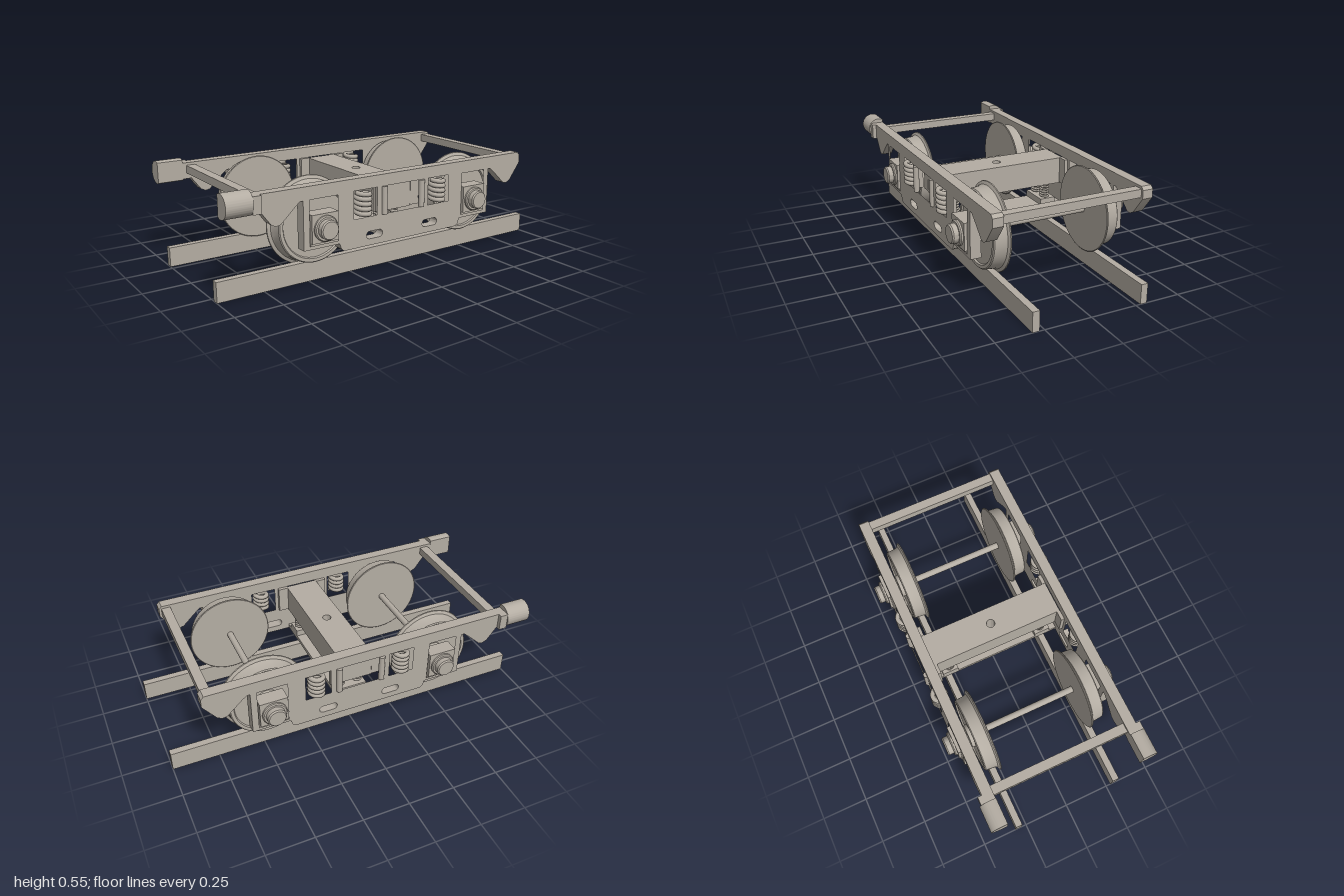
import * as THREE from 'three';
import { toCreasedNormals } from 'three/addons/utils/BufferGeometryUtils.js';

const metal = new THREE.MeshStandardMaterial({ color: 0xb4ada3 });
metal.name = 'warm grey metal';

function add(parent, name, geometry, x = 0, y = 0, z = 0) {
  const mesh = new THREE.Mesh(geometry, metal);
  mesh.name = name;
  mesh.position.set(x, y, z);
  parent.add(mesh);
  return mesh;
}

// Box given by its limits on each axis
function box(parent, name, [x0, x1], [y0, y1], [z0, z1]) {
  return add(parent, name, new THREE.BoxGeometry(x1 - x0, y1 - y0, z1 - z0),
    (x0 + x1) / 2, (y0 + y1) / 2, (z0 + z1) / 2);
}

// Solid turned around the z axis from [radius, z] points
function turned(points) {
  const g = new THREE.LatheGeometry(points.map(([r, z]) => new THREE.Vector2(r, z)), 64);
  return toCreasedNormals(g.rotateX(Math.PI / 2), 0.5);
}

function polygon(points, Type = THREE.Shape) {
  return new Type(points.map(([x, y]) => new THREE.Vector2(x, y)));
}

const rectHole = (x0, x1, y0, y1) =>
  polygon([[x0, y0], [x0, y1], [x1, y1], [x1, y0]], THREE.Path);

class Helix extends THREE.Curve {
  constructor(radius, height, turns) {
    super();
    Object.assign(this, { radius, height, turns });
  }
  getPoint(t, target = new THREE.Vector3()) {
    const a = t * this.turns * Math.PI * 2;
    return target.set(Math.cos(a) * this.radius, t * this.height, Math.sin(a) * this.radius);
  }
}

const spring = (radius, height, turns, wire) =>
  new THREE.TubeGeometry(new Helix(radius, height, turns), turns * 24, wire, 8);

function frameGeometry() {
  const half = [[0.82, 0.527], [0.835, 0.51], [0.835, 0.465], [0.765, 0.372], [0.74, 0.36], [0.715, 0.365],
    [0.635, 0.44], [0.61, 0.46], [0.594, 0.46], [0.594, 0.21], [0.39, 0.21], [0.38, 0.18], [0.365, 0.168]];
  const shape = polygon([...half, ...half.map(([x, y]) => [-x, y]).reverse()]);
  shape.holes.push(rectHole(-0.135, 0.135, 0.32, 0.465));
  for (const s of [-1, 1]) {
    const span = (a, b) => (s > 0 ? [a, b] : [-b, -a]);
    shape.holes.push(rectHole(...span(0.4, 0.56), 0.24, 0.46));
    shape.holes.push(rectHole(...span(0.165, 0.305), 0.32, 0.465));
    const slot = new THREE.Path();
    slot.absarc(s * 0.18 + 0.03, 0.222, 0.02, -Math.PI / 2, Math.PI / 2);
    slot.absarc(s * 0.18 - 0.03, 0.222, 0.02, Math.PI / 2, Math.PI * 1.5);
    shape.holes.push(slot);
  }
  return toCreasedNormals(new THREE.ExtrudeGeometry(shape, { depth: 0.057, bevelEnabled: false }), 0.6);
}

// Everything on the +z side that is symmetric front to back
function createSide() {
  const side = new THREE.Group();
  add(side, 'sideFrame', frameGeometry(), 0, 0, 0.373);
  box(side, 'rail', [-1, 1], [0, 0.105], [0.276, 0.313]);

  const wheel = turned([[0, 0.265], [0.226, 0.265], [0.23, 0.268], [0.228, 0.273], [0.212, 0.28], [0.207, 0.29],
    [0.202, 0.343], [0.197, 0.348], [0.18, 0.348], [0.175, 0.34], [0.065, 0.34], [0.062, 0.358], [0, 0.358]]);
  const cap = turned([[0, 0.43], [0.065, 0.43], [0.065, 0.452], [0.06, 0.458], [0.05, 0.458],
    [0.05, 0.484], [0.044, 0.491], [0, 0.491]]);

  for (const s of [-1, 1]) {
    const span = (a, b) => (s > 0 ? [a, b] : [-b, -a]);
    add(side, 'wheel', wheel, s * 0.48, 0.31);
    box(side, 'axleBox', span(0.405, 0.555), [0.24, 0.385], [0.365, 0.443]);
    add(side, 'bearingCap', cap, s * 0.48, 0.31);
    box(side, 'axleBoxKeeper', span(0.4, 0.56), [0.228, 0.242], [0.373, 0.436]);

    // Main coil spring in its pocket
    add(side, 'mainSpring', spring(0.035, 0.115, 4.5, 0.013), s * 0.24, 0.333, 0.41);

    // Bolster guides
    box(side, 'bolsterGuide', span(0.09, 0.145), [0.32, 0.465], [0.354, 0.374]);
    add(side, 'guidePost', new THREE.CylinderGeometry(0.016, 0.016, 0.145, 20), s * 0.12, 0.392, 0.43);

    // Small spring under the bolster
    add(side, 'bolsterSpring', spring(0.022, 0.085, 6, 0.006), s * 0.05, 0.23, 0.28);
  }
  box(side, 'springSeat', [-0.085, 0.085], [0.192, 0.23], [0.24, 0.33]);
  return side;
}

// Round buffer cut flat on its inner side, extruded along x
function bufferGeometry(s) {
  const cut = 2.04;
  const mid = s > 0 ? Math.PI : 0;
  const shape = new THREE.Shape();
  shape.absarc(-s * 0.4, 0.49, 0.061, mid - cut, mid + cut);
  const g = new THREE.ExtrudeGeometry(shape, { depth: 0.137, bevelEnabled: false, curveSegments: 32 });
  return toCreasedNormals(g.rotateY(Math.PI / 2), 0.5);
}

export function createModel() {
  const model = new THREE.Group();
  model.name = 'railBogie';

  const left = createSide();
  left.name = 'frontSide';
  const right = createSide();
  right.name = 'rearSide';
  right.rotation.y = Math.PI;
  model.add(left, right);

  // Buffers at one end only
  for (const s of [-1, 1]) {
    add(model, 'buffer', bufferGeometry(s), -1);
    box(model, 'bufferNeck', [-0.865, -0.82], [0.44, 0.527], s > 0 ? [0.373, 0.452] : [-0.452, -0.373]);
  }

  // Axles
  for (const x of [-0.48, 0.48]) {
    const axle = new THREE.CylinderGeometry(0.018, 0.018, 0.76, 24).rotateX(Math.PI / 2);
    add(model, 'axle', axle, x, 0.31);
  }

  // Bolster with centre pivot hole
  const plan = polygon([[-0.09, -0.372], [0.09, -0.372], [0.09, 0.372], [-0.09, 0.372]]);
  plan.holes.push(new THREE.Path().absarc(0, 0, 0.023, 0, Math.PI * 2, true));
  const bolster = new THREE.ExtrudeGeometry(plan, { depth: 0.148, bevelEnabled: false, curveSegments: 24 });
  add(model, 'bolster', toCreasedNormals(bolster.rotateX(-Math.PI / 2), 0.5), 0, 0.315);

  // Cross members
  box(model, 'springPlank', [-0.085, 0.085], [0.172, 0.195], [-0.374, 0.374]);
  box(model, 'endBeam', [-0.842, -0.792], [0.47, 0.513], [-0.374, 0.374]);
  box(model, 'endBeam', [0.772, 0.822], [0.47, 0.513], [-0.374, 0.374]);
  return model;
}
